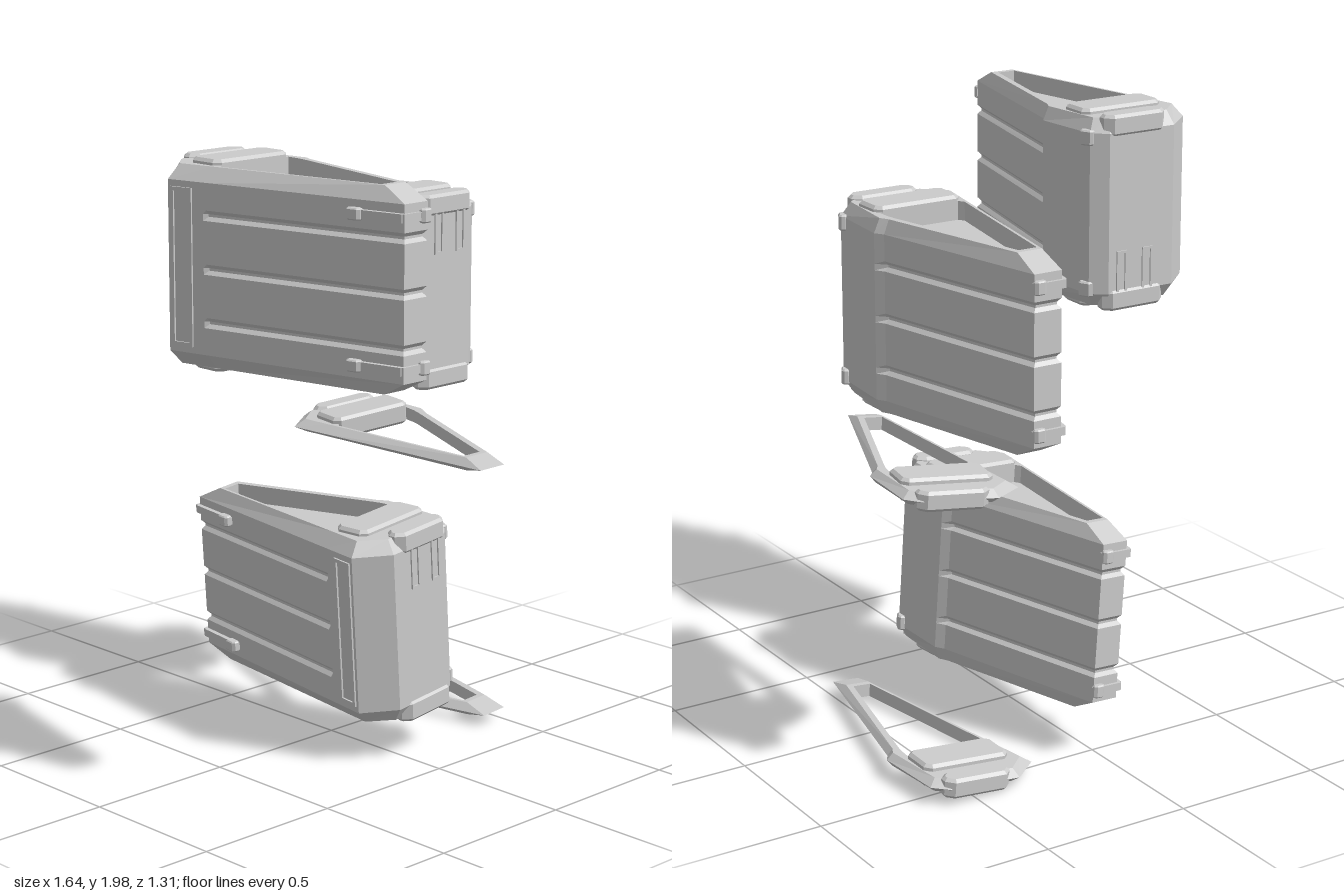
import * as THREE from 'three';

const material = new THREE.MeshStandardMaterial({ color: 0xcccccc, flatShading: true });

// Wedge outlines [x, z]: widest line, rim edge, groove bottom, rim opening
const OUTER = [[-.13, .30], [-.09, .25], [.15, .23], [.18, .248], [.80, .385],
  [.80, .48], [.10, .6217], [.09, .6237], [-.04, .65], [-.13, .55]];
const RIM = [[-.10, .31], [-.07, .275], [.15, .25], [.18, .265], [.71, .385],
  [.71, .47], [.10, .5854], [.09, .5873], [-.03, .61], [-.10, .54]];
const GROOVE = OUTER.map((p) => [...p]);
GROOVE[3] = [.182, .26];
GROOVE[4] = [.79, .395];
GROOVE[5] = [.79, .47];
GROOVE[6] = [.10, .61];
const OPENING = [[.10, .30], [.10, .28], [.15, .282], [.18, .287], [.69, .402],
  [.69, .465], [.14, .568], [.13, .57], [.12, .572], [.10, .56]];
const CENTRE = OPENING.map(() => [.3, .43]);

// Skins a list of [outline, y] sections with flat quads
function loft(sections) {
  const pos = [];
  const n = OUTER.length;
  for (let s = 0; s < sections.length - 1; s++) {
    const [lo, y0] = sections[s];
    const [hi, y1] = sections[s + 1];
    for (let i = 0; i < n; i++) {
      const j = (i + 1) % n;
      const a = [lo[i][0], y0, lo[i][1]], b = [lo[j][0], y0, lo[j][1]];
      const c = [hi[i][0], y1, hi[i][1]], d = [hi[j][0], y1, hi[j][1]];
      pos.push(...a, ...c, ...b, ...b, ...c, ...d);
    }
  }
  const g = new THREE.BufferGeometry();
  g.setAttribute('position', new THREE.Float32BufferAttribute(pos, 3));
  g.computeVertexNormals();
  return g;
}

function add(parent, name, geometry, x = 0, y = 0, z = 0, ry = 0) {
  const m = new THREE.Mesh(geometry, material);
  m.name = name;
  m.position.set(x, y, z);
  m.rotation.y = ry;
  parent.add(m);
  return m;
}

// Plate with cut corners and bevelled edges, lying flat: w along x, h along y, d along z
function plate(w, h, d, cut = .015, bevel = .01) {
  const a = w / 2 - bevel, b = d / 2 - bevel;
  const s = new THREE.Shape([[-a + cut, -b], [a - cut, -b], [a, -b + cut], [a, b - cut],
    [a - cut, b], [-a + cut, b], [-a, b - cut], [-a, -b + cut]].map((p) => new THREE.Vector2(...p)));
  const g = new THREE.ExtrudeGeometry(s, { depth: h - 2 * bevel, bevelEnabled: true,
    bevelThickness: bevel, bevelSize: bevel, bevelSegments: 1 });
  return g.translate(0, 0, -(h - 2 * bevel) / 2).rotateX(-Math.PI / 2);
}

// Thin upright rectangular border around a slot
function slotBorder(w, h, t, depth) {
  const rect = (Type, a, b) => new Type([[-a, -b], [a, -b], [a, b], [-a, b]].map((p) => new THREE.Vector2(...p)));
  const s = rect(THREE.Shape, w / 2, h / 2);
  s.holes.push(rect(THREE.Path, w / 2 - t, h / 2 - t));
  return new THREE.ExtrudeGeometry(s, { depth, bevelEnabled: false }).translate(0, 0, -depth / 2);
}

// Group whose origin is the middle of the wedge
function wedgeGroup(name) {
  const group = new THREE.Group();
  group.name = name;
  const inner = new THREE.Group();
  inner.name = name + 'Parts';
  inner.position.set(-.335, 0, -.44);
  group.add(inner);
  return { group, inner };
}

function container(name) {
  const { group, inner } = wedgeGroup(name);

  // Body with recessed ends and three grooves around the tapered part
  const sections = [[CENTRE, -.25], [OPENING, -.25], [OPENING, -.31], [RIM, -.31], [OUTER, -.265]];
  for (const y of [-.165, 0, .165]) sections.push([OUTER, y - .016], [GROOVE, y - .004], [GROOVE, y + .004], [OUTER, y + .016]);
  sections.push([OUTER, .265], [RIM, .31], [OPENING, .31], [OPENING, .25], [CENTRE, .25]);
  add(inner, 'body', loft(sections));

  // Long slot on the front, two short slots on the wide end
  add(inner, 'frontSlot', slotBorder(.08, .49, .012, .012), .01, 0, .64, .2);
  for (const z of [.35, .45]) add(inner, 'endSlot', slotBorder(.04, .15, .008, .01), -.13, -.2, z, -Math.PI / 2);

  // Parts mirrored between top and bottom
  for (const s of [1, -1]) {
    add(inner, 'rimPlate', plate(.13, .06, .305), .035, s * .298, .4225);
    add(inner, 'endClamp', plate(.075, .07, .235, .02), -.1, s * .288, .405);
    add(inner, 'cornerClip', plate(.05, .05, .03, .006, .005), -.075, s * .25, .25, .5);
    const latch = new THREE.Group();
    latch.name = 'latch';
    latch.position.y = s * .225;
    inner.add(latch);
    add(latch, 'latchBar', new THREE.BoxGeometry(.19, .026, .016), .708, 0, .506, .2);
    add(latch, 'latchPad', plate(.05, .036, .03, .006, .004), .64, 0, .525, .2);
    add(latch, 'latchEnd', new THREE.BoxGeometry(.016, .026, .11), .802, 0, .435);
    add(latch, 'latchHook', plate(.025, .042, .04, .006, .004), .806, 0, .4);
  }
  return group;
}

// Loose rim with an open middle
function looseRim(name) {
  const { group, inner } = wedgeGroup(name);
  const h = .022;
  add(inner, 'ring', loft([[OPENING, -h], [RIM, -h], [OUTER, 0], [RIM, h], [OPENING, h], [OPENING, -h]]));
  add(inner, 'rimPlate', plate(.14, .075, .305), .04, .005, .4225);
  add(inner, 'endClamp', plate(.075, .065, .235, .02), -.1, 0, .405);
  return group;
}

export function createModel() {
  const model = new THREE.Group();
  model.name = 'wedgeContainers';
  const place = (g, p, r) => {
    g.position.set(...p);
    g.rotation.set(...r);
    model.add(g);
  };
  place(container('upperFrontContainer'), [.335, 1.67, .44], [0, 0, 0]);
  place(container('upperBackContainer'), [-.335, 1.475, -.37], [0, 0, Math.PI]);
  place(container('lowerContainer'), [-.09, .47, .0], [.075, .07, Math.PI - .01]);
  place(looseRim('upperLooseRim'), [-.025, .953, -.38], [.08, -.18, 0]);
  place(looseRim('lowerLooseRim'), [-.135, .055, -.445], [.08, -.02, 0]);
  return model;
}
